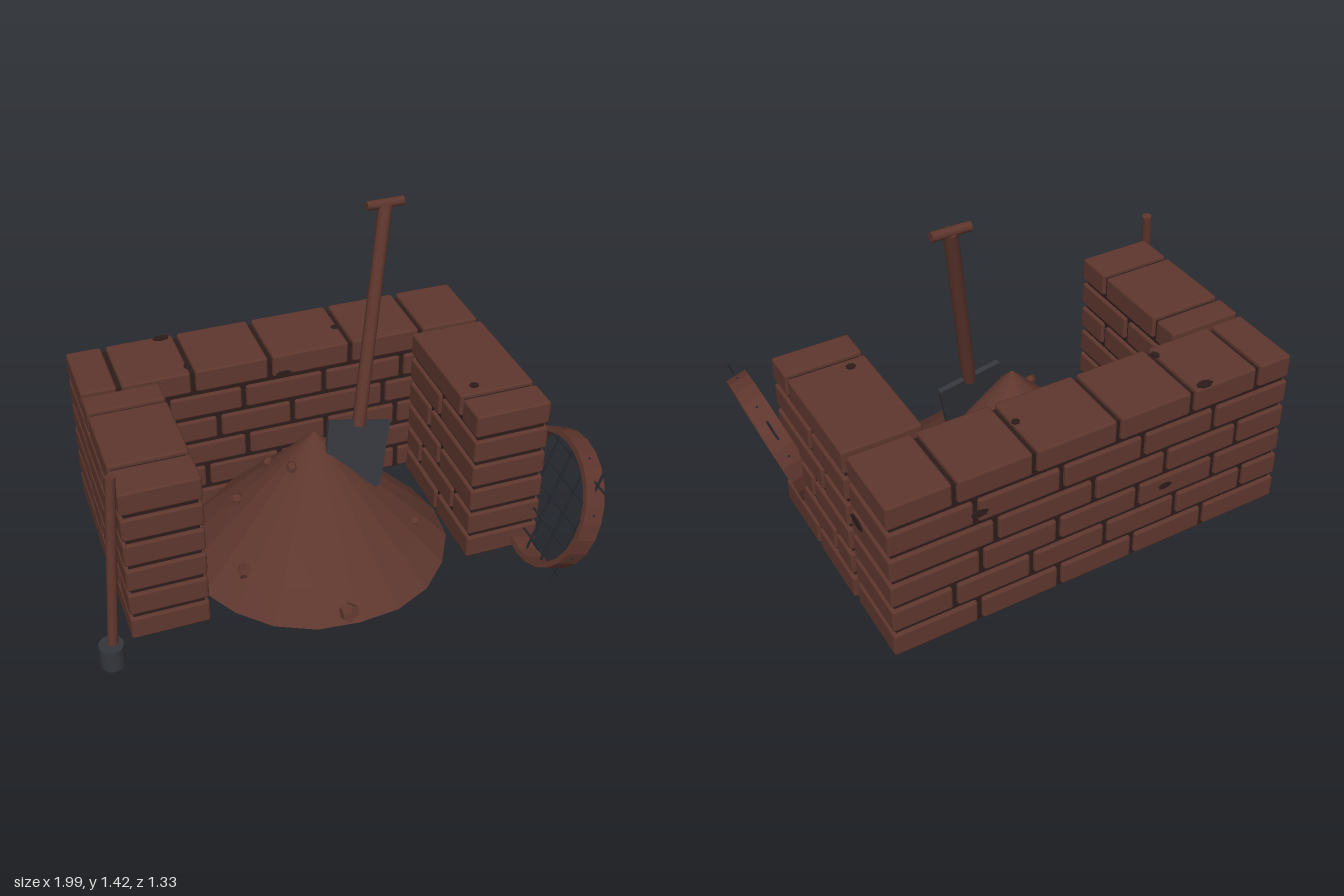
import * as THREE from 'three';
import { RoundedBoxGeometry } from 'three/addons/geometries/RoundedBoxGeometry.js';

function material(name, color, options = {}) {
  const m = new THREE.MeshStandardMaterial({ color, ...options });
  m.name = name;
  return m;
}

export function createModel() {
  const brick = material('brick', 0x5e372e);
  const mortar = material('mortar', 0x2c1c19);
  const sand = material('sand', 0x5e372e, { flatShading: true, side: THREE.DoubleSide });
  const stone = material('stone', 0x5c352c, { flatShading: true });
  const wood = material('wood', 0x5e362d);
  const metal = material('metal', 0x33363b);
  const wire = material('wire', 0x24282e);

  const model = new THREE.Group();
  model.name = 'sandBay';
  const V = (x, y, z) => new THREE.Vector3(x, y, z);
  const UP = V(0, 1, 0);

  function add(parent, name, geometry, mat, x = 0, y = 0, z = 0) {
    const mesh = new THREE.Mesh(geometry, mat);
    mesh.name = name;
    mesh.position.set(x, y, z);
    parent.add(mesh);
    return mesh;
  }

  // A round bar between two points
  function bar(parent, name, a, b, radius, mat, sides = 10) {
    const d = b.clone().sub(a);
    const mesh = add(parent, name, new THREE.CylinderGeometry(radius, radius, d.length(), sides), mat);
    mesh.position.copy(a).add(b).multiplyScalar(0.5);
    mesh.quaternion.setFromUnitVectors(UP, d.normalize());
    return mesh;
  }

  // A wall one brick thick: joints[] lists the upright joints of each course, top first
  const PITCH = 0.1215, HEIGHT = 0.1, GAP = 0.02;
  function wall(name, axis, [x0, x1], [z0, z1], joints) {
    const group = new THREE.Group();
    group.name = name;
    const inset = 0.016, top = 0.7;
    add(group, 'mortarCore', new THREE.BoxGeometry(x1 - x0 - 2 * inset, top, z1 - z0 - 2 * inset),
      mortar, (x0 + x1) / 2, top / 2, (z0 + z1) / 2);
    const [start, end] = axis === 'x' ? [x0, x1] : [z0, z1];
    joints.forEach((row, i) => {
      const y = 0.667 - i * PITCH;
      const cuts = [start - GAP / 2, ...row, end + GAP / 2];
      for (let k = 0; k + 1 < cuts.length; k++) {
        const length = cuts[k + 1] - cuts[k] - GAP;
        const mid = (cuts[k] + cuts[k + 1]) / 2;
        if (axis === 'x') {
          add(group, 'brick', new RoundedBoxGeometry(length, HEIGHT, z1 - z0, 1, 0.01), brick, mid, y, (z0 + z1) / 2);
        } else {
          add(group, 'brick', new RoundedBoxGeometry(x1 - x0, HEIGHT, length, 1, 0.01), brick, (x0 + x1) / 2, y, mid);
        }
      }
    });
    model.add(group);
  }

  wall('backWall', 'x', [-0.855, 0.85], [-0.665, -0.353], [
    [-0.7, -0.4, -0.075, 0.275, 0.59],
    [-0.51, -0.19, 0.16, 0.51],
    [-0.63, -0.3, 0.02, 0.43],
    [-0.53, -0.18, 0.17, 0.49],
    [-0.68, -0.36, -0.04, 0.28, 0.6],
    [-0.5, -0.17, 0.16, 0.5],
  ]);
  wall('leftWall', 'z', [0.54, 0.857], [-0.333, 0.31],
    [[0.165], [-0.025], [-0.12], [-0.01], [-0.19, 0.14], [-0.01]]);
  wall('rightWall', 'z', [-0.857, -0.545], [-0.333, 0.31],
    [[-0.21, 0.145], [-0.02], [0.14], [-0.04], [-0.17, 0.15], [0]]);

  // Dark chips in the brick faces: position, half sizes, facing direction
  const chips = [
    [V(0.851, 0.455, -0.41), 0.05, 0.02, V(1, 0, 0)],
    [V(-0.46, 0.718, -0.645), 0.035, 0.02, UP],
    [V(-0.41, 0.718, -0.405), 0.015, 0.02, UP],
    [V(0.25, 0.718, -0.485), 0.016, 0.016, UP],
    [V(0.62, 0.718, 0.105), 0.02, 0.018, UP],
    [V(-0.02, 0.63, -0.352), 0.035, 0.012, V(0, 0, 1)],
    [V(0.5, 0.54, -0.666), 0.035, 0.016, V(0, 0, -1)],
    [V(-0.3, 0.31, -0.666), 0.03, 0.014, V(0, 0, -1)],
  ];
  for (const [p, w, h, n] of chips) {
    const geometry = new THREE.CylinderGeometry(1, 1, 0.006, 7);
    // Lay the disc in the face, longest way across
    if (n.x !== 0) geometry.rotateZ(-Math.PI / 2).scale(1 / 1, h, w);
    else if (n.z !== 0) geometry.rotateX(Math.PI / 2).scale(w, h, 1);
    else geometry.scale(w, 1, h);
    add(model, 'chip', geometry, mortar, p.x, p.y, p.z);
  }

  // Sand heap: an open cone with slightly uneven rings
  const RADIUS = 0.545, PEAK = 0.555, HEAP_Z = -0.03;
  const profile = [[1, 0], [0.8, 0.195], [0.58, 0.41], [0.36, 0.63], [0.16, 0.835], [0, 1]]
    .map(([r, h]) => new THREE.Vector2(r * RADIUS, h * PEAK));
  const heap = new THREE.LatheGeometry(profile, 20);
  const pos = heap.attributes.position;
  for (let i = 0; i < pos.count; i++) {
    const a = Math.atan2(pos.getZ(i), pos.getX(i)), y = pos.getY(i);
    const k = 1 + 0.012 * Math.sin(3 * a + y * 9) + 0.008 * Math.sin(7 * a);
    pos.setXYZ(i, pos.getX(i) * k, y, pos.getZ(i) * k);
  }
  heap.computeVertexNormals();
  add(model, 'sandHeap', heap, sand, 0, 0, HEAP_Z);

  // Stones lying on the heap
  const stones = [[-0.31, -0.11, 0.032], [-0.16, -0.15, 0.028], [-0.11, 0.015, 0.028], [-0.375, 0.19, 0.034],
    [-0.035, 0.475, 0.042], [0.38, 0.155, 0.028], [0.36, -0.3, 0.036], [0.3, -0.28, 0.032]];
  stones.forEach(([x, z, r], i) => {
    const y = PEAK * (1 - Math.hypot(x, z - HEAP_Z) / RADIUS);
    const mesh = add(model, 'stone', new THREE.DodecahedronGeometry(r), stone, x, Math.max(y, 0.025), z);
    mesh.scale.y = 0.75;
    mesh.rotation.set(i, i * 2.1, i * 0.7);
  });

  // Shovel stuck in the heap
  const shovel = new THREE.Group();
  shovel.name = 'shovel';
  const neck = V(0.176, 0.56, 0.0), grip = V(0.355, 1.395, -0.226);
  bar(shovel, 'shovelShaft', neck, grip, 0.027, wood);
  bar(shovel, 'shovelHandle', V(0.28, 1.398, -0.23), V(0.43, 1.398, -0.23), 0.019, wood, 8);
  const outline = new THREE.Shape([[-0.132, 0], [0.132, 0], [0.122, -0.27], [0.06, -0.32], [-0.06, -0.32], [-0.122, -0.27]]
    .map(([x, y]) => new THREE.Vector2(x, y)).reverse());
  const blade = add(shovel, 'shovelBlade',
    new THREE.ExtrudeGeometry(outline, { depth: 0.02, bevelEnabled: false }).translate(0, 0.02, -0.01), metal);
  blade.position.copy(neck);
  blade.quaternion.setFromUnitVectors(UP, grip.clone().sub(neck).normalize());
  model.add(shovel);

  // Mallet standing on its head
  const mallet = new THREE.Group();
  mallet.name = 'mallet';
  add(mallet, 'malletHead', new THREE.CylinderGeometry(0.048, 0.048, 0.1, 14), metal, -0.952, 0.055, 0.4);
  bar(mallet, 'malletShaft', V(-0.945, 0.09, 0.395), V(-0.875, 0.82, 0.325), 0.02, wood);
  model.add(mallet);

  // Round sieve leaning outwards
  const sieve = new THREE.Group();
  sieve.name = 'sieve';
  const ro = 0.285, ri = 0.262, half = 0.043;
  const section = [[ri, -half], [ro, -half], [ro, half], [ri, half], [ri, -half]].map(([r, h]) => new THREE.Vector2(r, h));
  const rim = new THREE.LatheGeometry(section, 24).toNonIndexed();
  rim.computeVertexNormals();
  add(sieve, 'sieveRim', rim.rotateZ(Math.PI / 2), wood);
  for (let i = -2; i <= 2; i++) {
    const o = i * 0.105;
    bar(sieve, 'uprightWire', V(0, -0.265, o), V(0, 0.265, o), 0.005, wire, 6);
    bar(sieve, 'crossWire', V(0, o, -0.265), V(0, o, 0.265), 0.005, wire, 6);
  }
  sieve.position.set(0.865, 0.293, 0.375);
  sieve.rotation.z = -0.32;
  model.add(sieve);

  return model;
}
